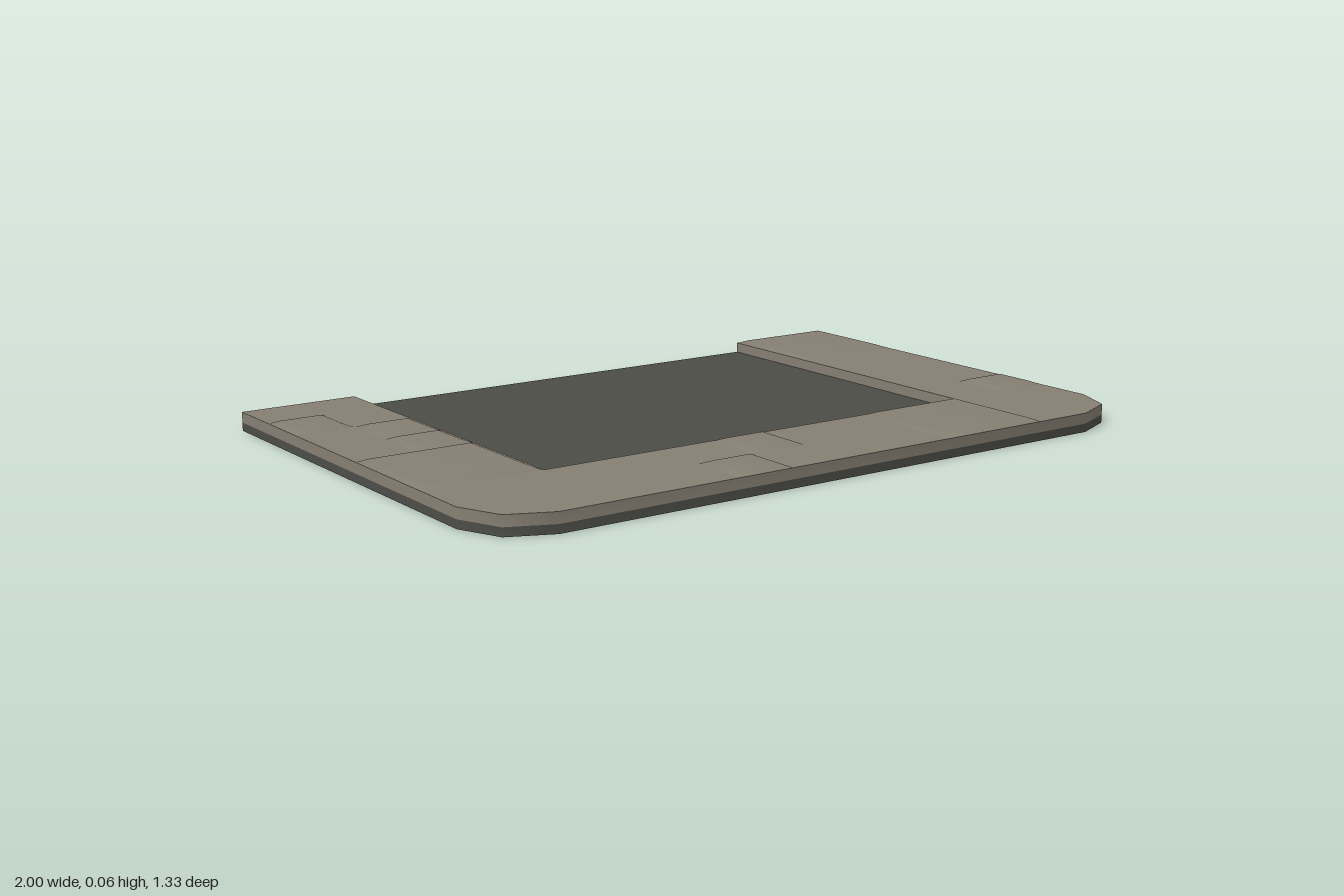
import * as THREE from 'three';
import { toCreasedNormals } from 'three/addons/utils/BufferGeometryUtils.js';

const ROAD_Y = 0.023, PAVE_Y = 0.052, SLAB_Y = 0.061;
const T = 1 / 3, S = 1 / 6; // large and small paving modules

// Outer front edge with chamfered corners, as [x, z], from back right to back left
const outline = [
  [-1, -2 * T], [-1, 0.5], [-0.95, 0.615], [-5 * S, 2 * T],
  [5 * S, 2 * T], [0.95, 0.615], [1, 0.5], [1, -2 * T],
];

// Flat plate raised from a plan outline
function plate(points, y0, y1) {
  const shape = new THREE.Shape(points.map(([x, z]) => new THREE.Vector2(x, -z)));
  const g = new THREE.ExtrudeGeometry(shape, { depth: y1 - y0, bevelEnabled: false });
  g.rotateX(-Math.PI / 2).translate(0, y0, 0);
  return toCreasedNormals(g, 0.87);
}

// Shallow slab with sloping, softly shaded sides
function slabGeometry(x, z, size) {
  const b = 0.025, pos = [], index = [0, 1, 2, 0, 2, 3];
  for (const [inset, y] of [[b, SLAB_Y], [0, PAVE_Y - 0.001]]) {
    const lo = inset, hi = size - inset;
    for (const [u, v] of [[lo, lo], [lo, hi], [hi, hi], [hi, lo]]) pos.push(x + u, y, z + v);
  }
  for (let i = 0; i < 4; i++) {
    const j = (i + 1) % 4;
    index.push(i, i + 4, j + 4, i, j + 4, j);
  }
  const g = new THREE.BufferGeometry();
  g.setAttribute('position', new THREE.Float32BufferAttribute(pos, 3));
  g.setIndex(index);
  g.computeVertexNormals();
  return g;
}

export function createModel() {
  const group = new THREE.Group();
  const asphalt = new THREE.MeshStandardMaterial({ color: 0x4c4c47 });
  asphalt.name = 'asphalt';
  const stone = new THREE.MeshStandardMaterial({ color: 0x857e72 });
  stone.name = 'paving stone';

  const add = (name, geometry, material) => {
    const mesh = new THREE.Mesh(geometry, material);
    mesh.name = name;
    group.add(mesh);
  };

  // Road base under the whole tile
  add('roadBase', plate(outline, 0, ROAD_Y), asphalt);

  // U-shaped pavement, open at the back
  const inner = [[2 * T, -2 * T], [2 * T, T], [-2 * T, T], [-2 * T, -2 * T]];
  add('pavement', plate([...outline, ...inner], ROAD_Y, PAVE_Y), stone);

  // Raised slabs: back left corner x, z and side length
  const slabs = [
    [2 * T, -2 * T, T], [T, T, T], [-1, 0, T],
    [5 * S, S, S], [-S, T, S], [-T, 0.5, S],
    [-5 * S, -S, S], [-5 * S, -T, S], [-1, -0.5, S],
  ];
  slabs.forEach(([x, z, size], i) => add(`pavingSlab${i + 1}`, slabGeometry(x, z, size), stone));

  return group;
}
